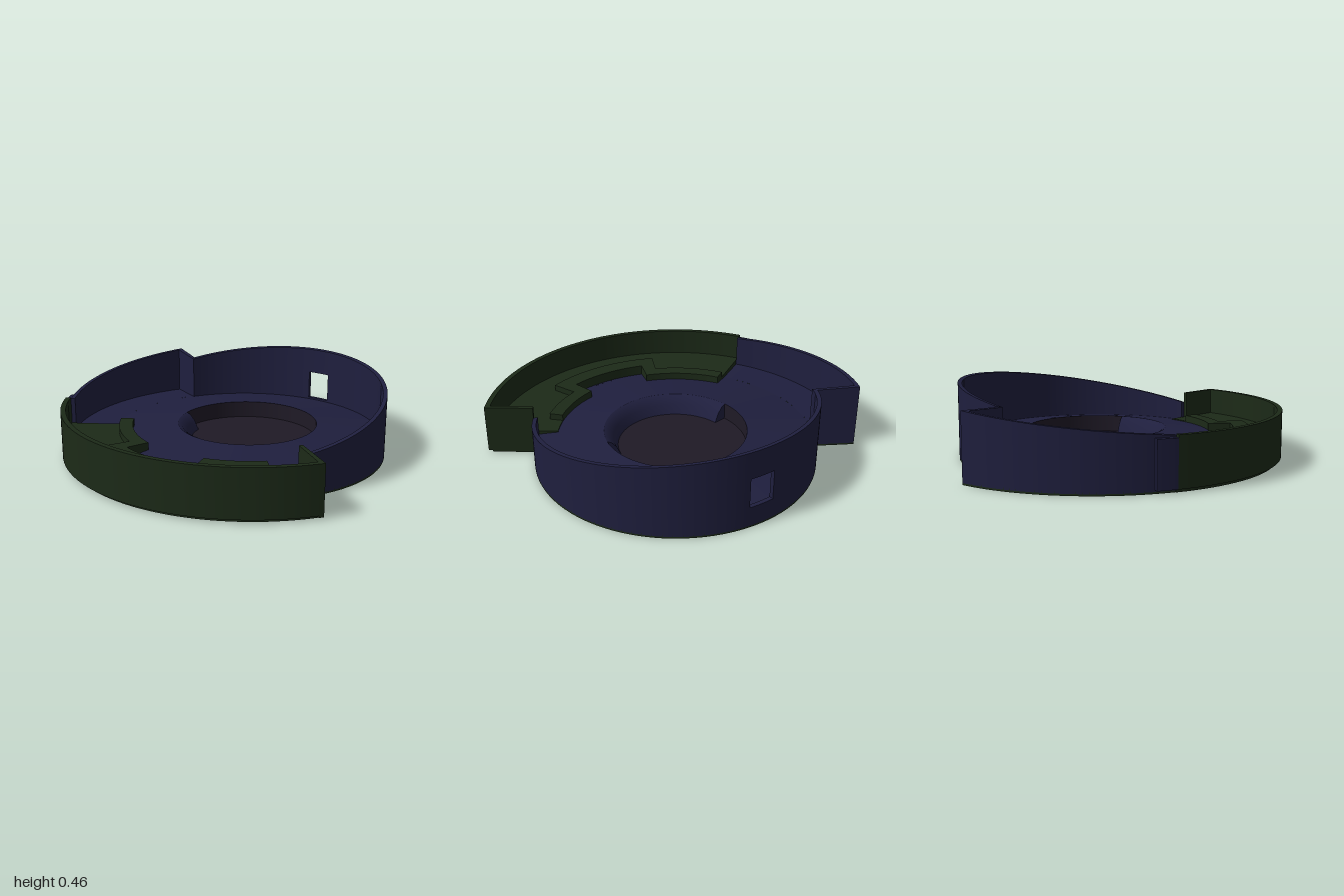
import * as THREE from 'three';
import { toCreasedNormals } from 'three/addons/utils/BufferGeometryUtils.js';

const rad = THREE.MathUtils.degToRad;
const material = (color) => new THREE.MeshStandardMaterial({ color, side: THREE.DoubleSide });

export function createModel() {
  const model = new THREE.Group();
  model.name = 'roundHousing';
  model.position.set(0.07, 0, -0.14); // axis of the housing
  const root = new THREE.Group();
  root.add(model);

  const blue = material(0x1f1f3e);
  const green = material(0x1c2a18);
  const brown = material(0x1f1a26);

  function add(name, geometry, mat) {
    const mesh = new THREE.Mesh(geometry, mat);
    mesh.name = name;
    model.add(mesh);
    return mesh;
  }

  // Stands a plan outline (x, z) up between two heights; top may be a rule of z
  function slab(name, shape, y0, top, mat) {
    const depth = 0.1;
    let g = new THREE.ExtrudeGeometry(shape, { depth, bevelEnabled: false, curveSegments: 48 });
    g.rotateX(Math.PI / 2);
    const p = g.attributes.position;
    for (let i = 0; i < p.count; i++) {
      const isTop = p.getY(i) > -depth / 2;
      p.setY(i, !isTop ? y0 : typeof top === 'function' ? top(p.getZ(i)) : top);
    }
    return add(name, toCreasedNormals(g, 0.5), mat);
  }

  // Plan outline from arcs given as [radius, startDeg, endDeg]
  function arcs(list) {
    const s = new THREE.Shape();
    for (const [r, a, b] of list) s.absarc(0, 0, r, rad(a), rad(b), b < a);
    s.closePath();
    return s;
  }
  const ring = (r0, r1, a, b) => arcs([[r1, a, b], [r0, b, a]]);

  // Turned surface over an angular range measured from +x towards +z
  function turned(name, profile, a, b, mat) {
    const pts = profile.map(([r, y]) => new THREE.Vector2(r, y));
    return add(name, new THREE.LatheGeometry(pts, 96, rad(90 - b), rad(b - a)), mat);
  }

  // Base plate with a stepped centre hole, and its wider sector
  const disc = new THREE.Shape().absarc(0, 0, 0.82, 0, Math.PI * 2);
  disc.holes.push(arcs([[0.26, 115, 410], [0.15, 50, 115]]));
  slab('basePlate', disc, 0, 0.02, green);
  slab('baseSector', ring(0.81, 1.07, 33, 207.7), 0, 0.02, green);
  add('hubUnderside', new THREE.CylinderGeometry(0.42, 0.42, 0.02, 64), blue).position.y = 0.05;

  // Gently conical floor
  turned('floor', [[0.81, 0.112], [0.415, 0.167]], 0, 360, blue);
  turned('floorSector', [[1.06, 0.1], [0.81, 0.112]], 33, 207.7, blue);

  // Centre recess: straight wall at the back, sloping lip at the front
  turned('recessWall', [[0.415, 0.167], [0.415, 0.065]], 169, 371, brown);
  turned('recessFloor', [[0.415, 0.067], [0.001, 0.067]], 0, 360, brown);
  const lip = [[0.415, 0.167], [0.39, 0.155], [0.36, 0.12], [0.335, 0.067]];
  turned('recessLip', lip, 11, 169, blue);
  for (const angle of [11, 169]) {
    const s = new THREE.Shape([...lip, [0.415, 0.067]].map(([r, y]) => new THREE.Vector2(r, y)));
    add('lipEnd', new THREE.ShapeGeometry(s), blue).rotation.y = -rad(angle);
  }

  // Back wall with a sloping rim and a window
  const backRim = (z) => 0.312 - 0.18 * z;
  slab('backWall', ring(0.795, 0.82, 207, 264.8), 0.01, backRim, blue);
  slab('backWall', ring(0.795, 0.82, 275.2, 393), 0.01, backRim, blue);
  slab('windowSill', ring(0.795, 0.82, 264.8, 275.2), 0.01, 0.125, blue);
  slab('windowHead', ring(0.795, 0.82, 264.8, 275.2), 0.3, backRim, blue);

  // Wider side wall, its radial step and end tab
  const sideRim = (z) => 0.343 - 0.09 * z;
  slab('sideWall', ring(1.045, 1.07, 146, 207.7), 0.01, sideRim, blue);
  slab('sideStep', ring(0.795, 1.07, 206.2, 207.7), 0.01, sideRim, blue);
  slab('sideTab', ring(1.065, 1.1, 146, 152), 0.02, 0.28, blue);

  // Front cover: outer wall, end wall and floor with a notch
  slab('frontWall', ring(1.07, 1.1, 33, 146), 0.02, 0.295, green);
  slab('frontWallFoot', ring(1.04, 1.075, 33, 146), 0, 0.03, green);
  slab('frontEndWall', ring(0.82, 1.1, 33, 34.5), 0.01, 0.295, green);
  const innerEdge = (end) => [[0.685, 146, 107], [0.82, 107, 73], [0.685, 73, end]];
  slab('frontFloor', arcs([[1.08, 34, 146], ...innerEdge(34)]), 0.09, 0.135, green);

  // Raised ledge along the inner edge of the cover
  const outerEdge = [[0.765, 44.5, 67], [0.92, 67, 113], [0.765, 113, 146]];
  slab('ledge', arcs([...outerEdge, ...innerEdge(44.5)]), 0.09, 0.172, green);

  return root;
}
